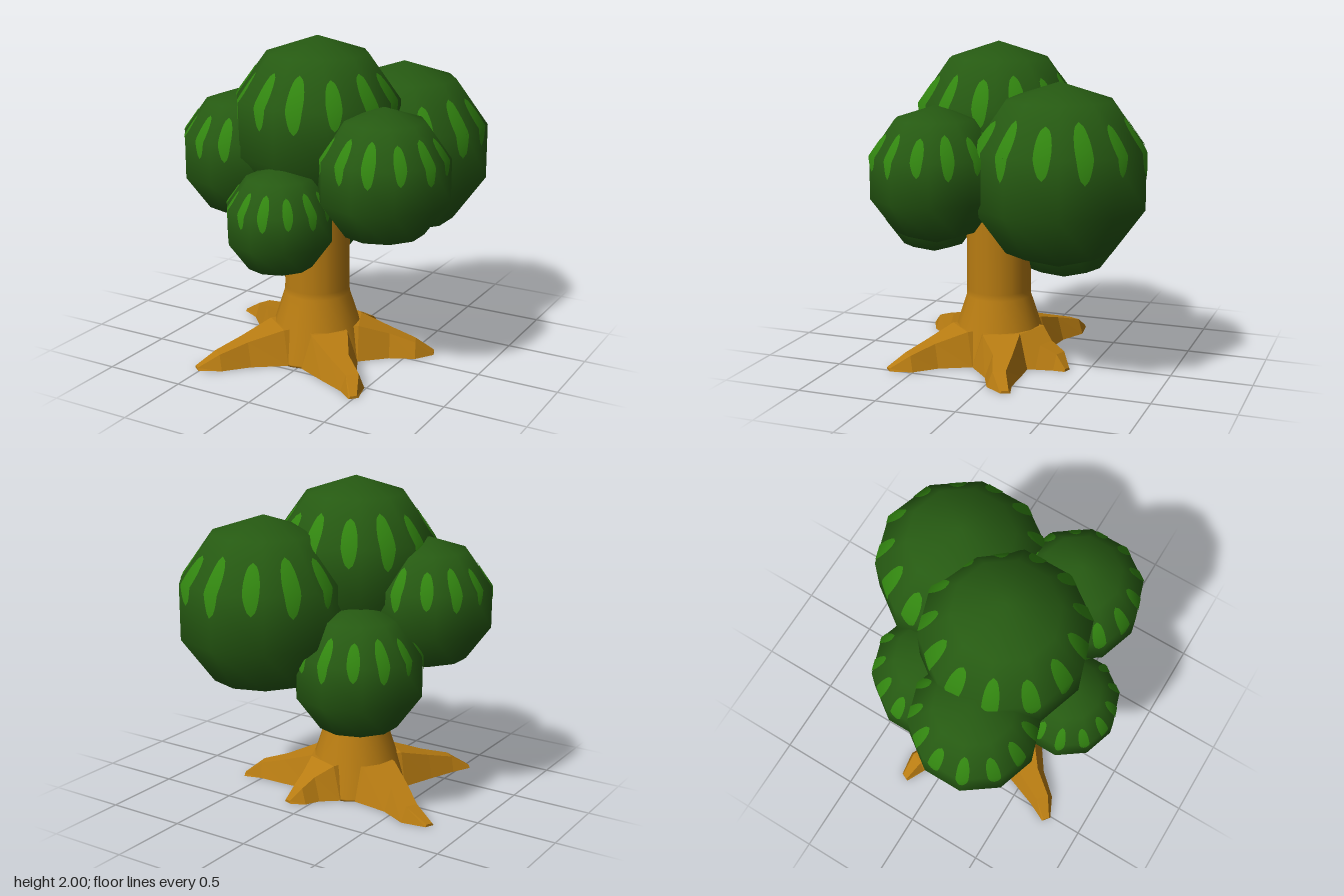
import * as THREE from 'three';

const bark = new THREE.MeshStandardMaterial({ color: 0xb87c12 });
bark.name = 'bark brown';
const facetedBark = bark.clone();
facetedBark.flatShading = true;
const leaf = new THREE.MeshStandardMaterial({ color: 0x265a12 });
leaf.name = 'leaf green';
const fleck = new THREE.MeshStandardMaterial({ color: 0x328610 });
fleck.name = 'light leaf green';

const STEP = Math.PI / 5; // facet angle of the leaf balls
const TRUNK = [-0.045, 0.135]; // trunk centre in x and z

const onSphere = (a, t) =>
  new THREE.Vector3(Math.sin(t) * Math.sin(a), Math.cos(t), Math.sin(t) * Math.cos(a));

// Point on the flat facets of a unit ball, a = heading, t = angle from the pole
function onFacet(a, t) {
  const i = Math.floor(a / STEP), j = Math.floor(t / STEP);
  const u = a / STEP - i, v = t / STEP - j;
  const row = (k) => onSphere(i * STEP, k * STEP).lerp(onSphere((i + 1) * STEP, k * STEP), u);
  return row(j).lerp(row(j + 1), v);
}

// Thin lens-shaped mark lying on a ball
function fleckGeometry(r, heading, halfLength) {
  const g = new THREE.PlaneGeometry(2, 2, 6, 14);
  const p = g.attributes.position, n = g.attributes.normal;
  for (let k = 0; k < p.count; k++) {
    const s = p.getX(k), y = p.getY(k);
    const a = heading + s * 0.105 * Math.sqrt(Math.max(0, 1 - y * y)) * (1 + 0.15 * y);
    const t = 1.17 - y * halfLength;
    const q = onFacet(a, t).multiplyScalar(r + 0.005);
    const d = onSphere(a, t);
    p.setXYZ(k, q.x, q.y, q.z);
    n.setXYZ(k, d.x, d.y, d.z);
  }
  return g;
}

function leafBall(name, x, y, z, r) {
  const group = new THREE.Group();
  group.name = name;
  const ball = new THREE.Mesh(new THREE.SphereGeometry(r, 10, 5).rotateY(Math.PI / 10), leaf);
  ball.name = name + 'Ball';
  group.add(ball);
  const count = 13;
  for (let i = 0; i < count; i++) {
    const heading = ((i + 0.5) / count) * Math.PI * 2;
    const mark = new THREE.Mesh(fleckGeometry(r, heading, i % 2 ? 0.3 : 0.35), fleck);
    mark.name = 'leafFleck';
    group.add(mark);
  }
  group.position.set(x, y, z);
  return group;
}

// Tapering faceted root running from the trunk to a tip on the ground
function root(tipX, tipZ, bend) {
  const dx = tipX - TRUNK[0], dz = tipZ - TRUNK[1];
  const len = Math.hypot(dx, dz);
  const reach = (f) => 0.26 + (len - 0.26) * f;
  // distance, half width on top, half width at the base, height
  const sections = [
    [0.1, 0.12, 0.2, 0.21],
    [0.27, 0.115, 0.18, 0.21],
    [reach(0.42), 0.06, 0.11, 0.145],
    [reach(0.76), 0.04, 0.075, 0.095],
    [len, 0.02, 0.03, 0.015],
  ];
  const pos = [], index = [];
  sections.forEach(([d, top, base, h], i) => {
    const off = i === 3 ? bend : 0;
    pos.push(off - base, 0, d, off + base, 0, d, off + top, h, d, off - top, h, d);
    if (i) {
      for (let k = 0; k < 4; k++) {
        const a = (i - 1) * 4 + k, b = (i - 1) * 4 + ((k + 1) % 4);
        index.push(a, b, b + 4, a, b + 4, a + 4);
      }
    }
  });
  const e = (sections.length - 1) * 4;
  index.push(e, e + 1, e + 2, e, e + 2, e + 3);
  const g = new THREE.BufferGeometry();
  g.setAttribute('position', new THREE.Float32BufferAttribute(pos, 3));
  // reverse the side faces so they look outwards
  for (let k = 0; k < index.length - 6; k += 3) {
    [index[k + 1], index[k + 2]] = [index[k + 2], index[k + 1]];
  }
  g.setIndex(index.map((v) => v));
  return outward(g, Math.atan2(dx, dz));
}

// Turn the root to its heading, checking that its top face looks up
function outward(g, heading) {
  const p = g.attributes.position, ix = g.index.array;
  const corner = (k) => new THREE.Vector3().fromBufferAttribute(p, ix[k]);
  const a = corner(12), normal = corner(13).sub(a).cross(corner(14).sub(a));
  if (normal.y < 0) {
    for (let k = 0; k < ix.length - 6; k += 3) [ix[k + 1], ix[k + 2]] = [ix[k + 2], ix[k + 1]];
  }
  g.rotateY(heading).translate(TRUNK[0], 0, TRUNK[1]);
  g.computeVertexNormals();
  const mesh = new THREE.Mesh(g, facetedBark);
  mesh.name = 'root';
  return mesh;
}

export function createModel() {
  const tree = new THREE.Group();
  tree.name = 'tree';

  // Trunk with a flared foot
  const profile = [[0, 0], [0.33, 0], [0.325, 0.01], [0.27, 0.2], [0.205, 0.4], [0.203, 0.44], [0.203, 1.3]];
  const trunk = new THREE.Mesh(
    new THREE.LatheGeometry(profile.map(([x, y]) => new THREE.Vector2(x, y)), 16), bark);
  trunk.name = 'trunk';
  trunk.position.set(TRUNK[0], 0, TRUNK[1]);
  tree.add(trunk);

  // Roots: tip x, tip z, sideways bend
  const roots = new THREE.Group();
  roots.name = 'roots';
  [[-0.78, -0.2, -0.04], [-0.53, 0.77, 0.02], [0.5, 0.66, 0.03], [0.63, -0.16, -0.03], [0.13, -0.38, 0.02]]
    .forEach((r) => roots.add(root(...r)));
  tree.add(roots);

  // Leaf balls: name, centre, radius
  [
    ['topCrown', -0.04, 1.47, 0.13, 0.53],
    ['backLeftCrown', 0.29, 1.25, -0.37, 0.55],
    ['leftCrown', 0.505, 1.25, 0.32, 0.41],
    ['rightCrown', -0.51, 1.25, 0.21, 0.41],
    ['frontCrown', -0.04, 0.97, 0.58, 0.33],
    ['backRightCrown', -0.285, 0.89, -0.22, 0.41],
  ].forEach((b) => tree.add(leafBall(...b)));

  return tree;
}
